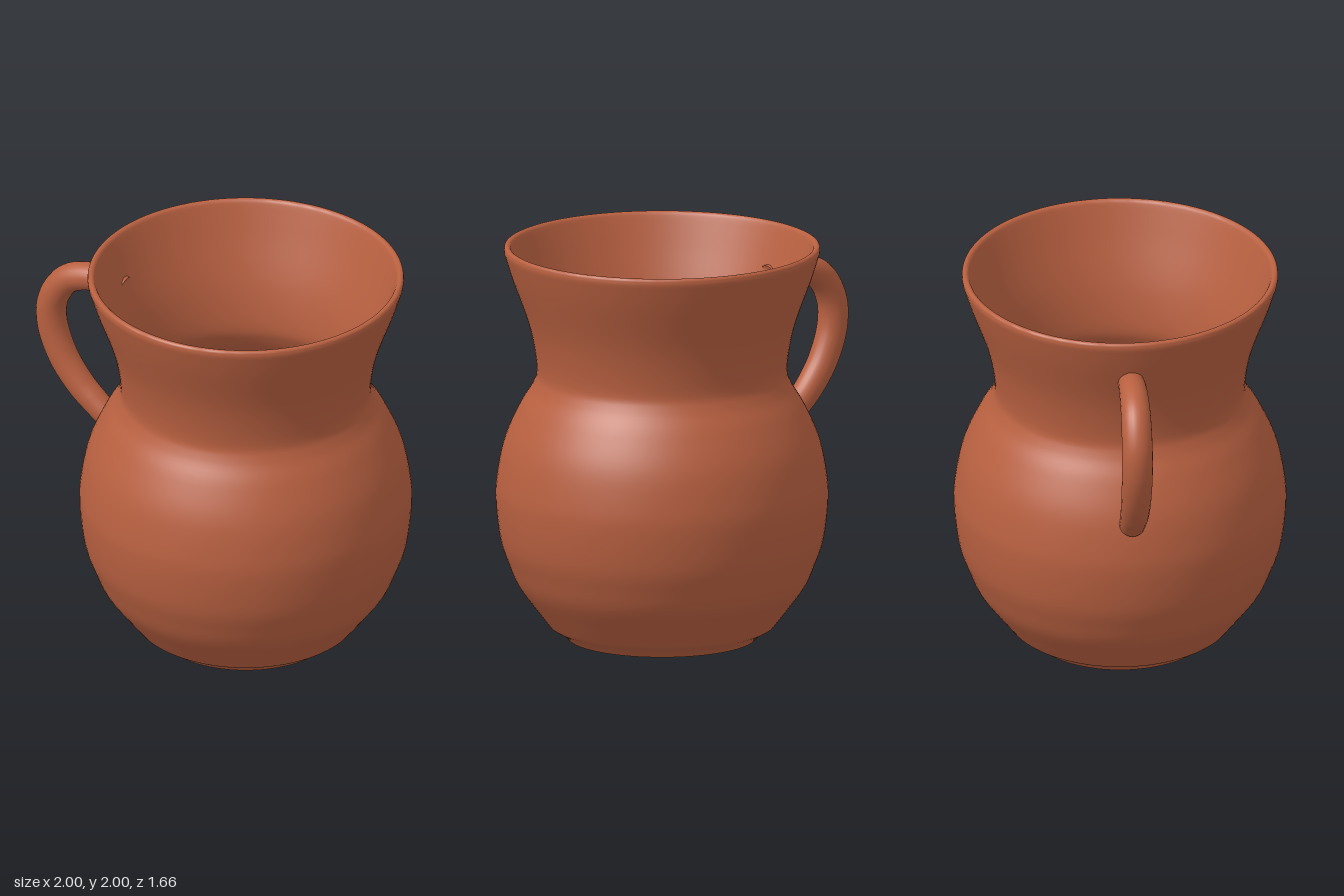
import * as THREE from 'three';
import { toCreasedNormals } from 'three/addons/utils/BufferGeometryUtils.js';

const clay = new THREE.MeshStandardMaterial({ color: 0xb86040 });
clay.name = 'terracotta';

const AXIS_X = 0.172; // jug axis, offset to leave room for the handle

// Smooth run of profile points through a few [radius, height] pairs
function smooth(pairs, n) {
  return new THREE.SplineCurve(pairs.map(([r, y]) => new THREE.Vector2(r, y))).getPoints(n);
}

function createBody() {
  const foot = smooth([[0.47, 0], [0.5, 0.03], [0.555, 0.062]], 5);
  const outside = smooth([
    [0.565, 0.07], [0.63, 0.155], [0.717, 0.275], [0.765, 0.385], [0.806, 0.51], [0.828, 0.7],
    [0.822, 0.83], [0.785, 1.01], [0.71, 1.18], [0.645, 1.29], [0.624, 1.38],
    [0.66, 1.59], [0.748, 1.84], [0.787, 1.965],
  ], 64);
  const lip = smooth([[0.788, 1.98], [0.784, 1.995], [0.771, 2], [0.758, 1.994], [0.75, 1.978]], 10);
  const inside = smooth([
    [0.745, 1.965], [0.7, 1.84], [0.612, 1.59], [0.574, 1.38], [0.597, 1.28],
    [0.665, 1.16], [0.738, 0.99], [0.773, 0.82], [0.778, 0.7], [0.756, 0.52],
    [0.67, 0.29], [0.58, 0.16], [0.51, 0.105], [0.44, 0.09],
  ], 64);
  const profile = [new THREE.Vector2(0, 0), ...foot, ...outside, ...lip, ...inside, new THREE.Vector2(0, 0.09)];
  const body = new THREE.Mesh(toCreasedNormals(new THREE.LatheGeometry(profile, 96), 0.6), clay);
  body.name = 'jugBody';
  body.position.x = AXIS_X;
  return body;
}

function createHandle() {
  const group = new THREE.Group();
  group.name = 'handle';
  const curve = new THREE.CatmullRomCurve3([
    [-0.515, 1.733], [-0.59, 1.752], [-0.69, 1.758], [-0.83, 1.71], [-0.915, 1.58],
    [-0.922, 1.44], [-0.86, 1.265], [-0.76, 1.125], [-0.69, 1.058], [-0.605, 0.985],
  ].map(([x, y]) => new THREE.Vector3(x, y, 0)));
  const radiusAt = (t) => 0.066 + 0.011 * Math.sin(Math.PI * t);

  // Tube that swells slightly in the middle
  const segments = 64, sides = 24;
  const geometry = new THREE.TubeGeometry(curve, segments, 1, sides);
  const pos = geometry.attributes.position;
  const v = new THREE.Vector3();
  for (let i = 0; i <= segments; i++) {
    const centre = curve.getPointAt(i / segments);
    for (let j = 0; j <= sides; j++) {
      const k = i * (sides + 1) + j;
      v.fromBufferAttribute(pos, k).sub(centre).multiplyScalar(radiusAt(i / segments)).add(centre);
      pos.setXYZ(k, v.x, v.y, v.z);
    }
  }
  const grip = new THREE.Mesh(geometry, clay);
  grip.name = 'handleGrip';
  group.add(grip);

  // Flat ends
  for (const t of [0, 1]) {
    const cap = new THREE.Mesh(new THREE.CircleGeometry(radiusAt(t), sides), clay);
    cap.name = t ? 'handleLowerEnd' : 'handleUpperEnd';
    const centre = curve.getPointAt(t);
    cap.position.copy(centre);
    cap.lookAt(centre.clone().addScaledVector(curve.getTangentAt(t), t ? 1 : -1));
    group.add(cap);
  }
  return group;
}

export function createModel() {
  const jug = new THREE.Group();
  jug.name = 'jug';
  jug.add(createBody(), createHandle());
  return jug;
}
